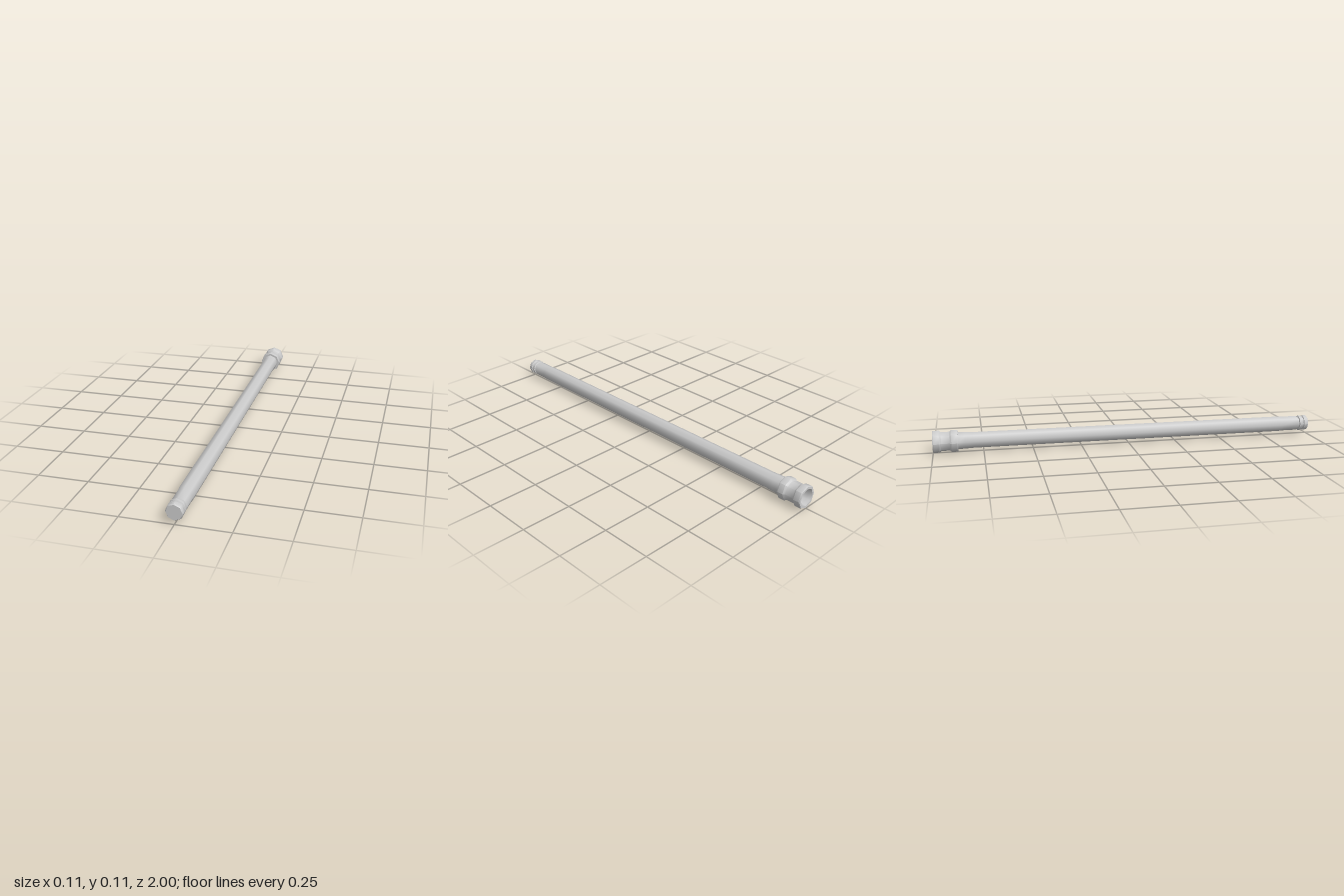
import * as THREE from 'three';
import { toCreasedNormals } from 'three/addons/utils/BufferGeometryUtils.js';

const SIDES = 8;
const AXIS_HEIGHT = 0.057;

export function createModel() {
  const group = new THREE.Group();
  group.name = 'socketedRod';
  const material = new THREE.MeshStandardMaterial({ color: 0xcccccc, side: THREE.DoubleSide });

  // Eight-sided turned part along z; profile is [radius, z] from back to front.
  // Creases are found at a larger scale so that small steps stay distinct.
  function turned(name, profile) {
    const k = 100;
    const points = profile.map(([r, z]) => new THREE.Vector2(r * k, z * k));
    const lathe = new THREE.LatheGeometry(points, SIDES);
    const geometry = toCreasedNormals(lathe, THREE.MathUtils.degToRad(48));
    geometry.scale(1 / k, 1 / k, 1 / k).rotateX(Math.PI / 2);
    const mesh = new THREE.Mesh(geometry, material);
    mesh.name = name;
    mesh.position.y = AXIS_HEIGHT;
    group.add(mesh);
  }

  // Hollow socket: bore floor, mouth, rear flange, waist and front flange
  turned('socket', [
    [0, -0.91], [0.034, -0.91], [0.042, -0.98], [0.044, -1],
    [0.055, -1], [0.057, -0.995], [0.057, -0.967], [0.049, -0.958],
    [0.049, -0.917], [0.057, -0.908], [0.057, -0.88], [0.055, -0.875], [0.04, -0.875],
  ]);

  // Long shaft, with slightly stepped ends
  turned('shaft', [
    [0.044, -0.876], [0.043, -0.84], [0.041, -0.8],
    [0.041, 0.84], [0.039, 0.86], [0.039, 0.942], [0.034, 0.945],
  ]);

  // Plug end with two shallow grooves and a flat tip
  turned('plug', [
    [0.035, 0.94], [0.035, 0.95], [0.041, 0.953], [0.041, 0.965], [0.036, 0.968],
    [0.036, 0.975], [0.041, 0.978], [0.041, 0.994], [0.037, 1], [0, 1],
  ]);

  return group;
}
